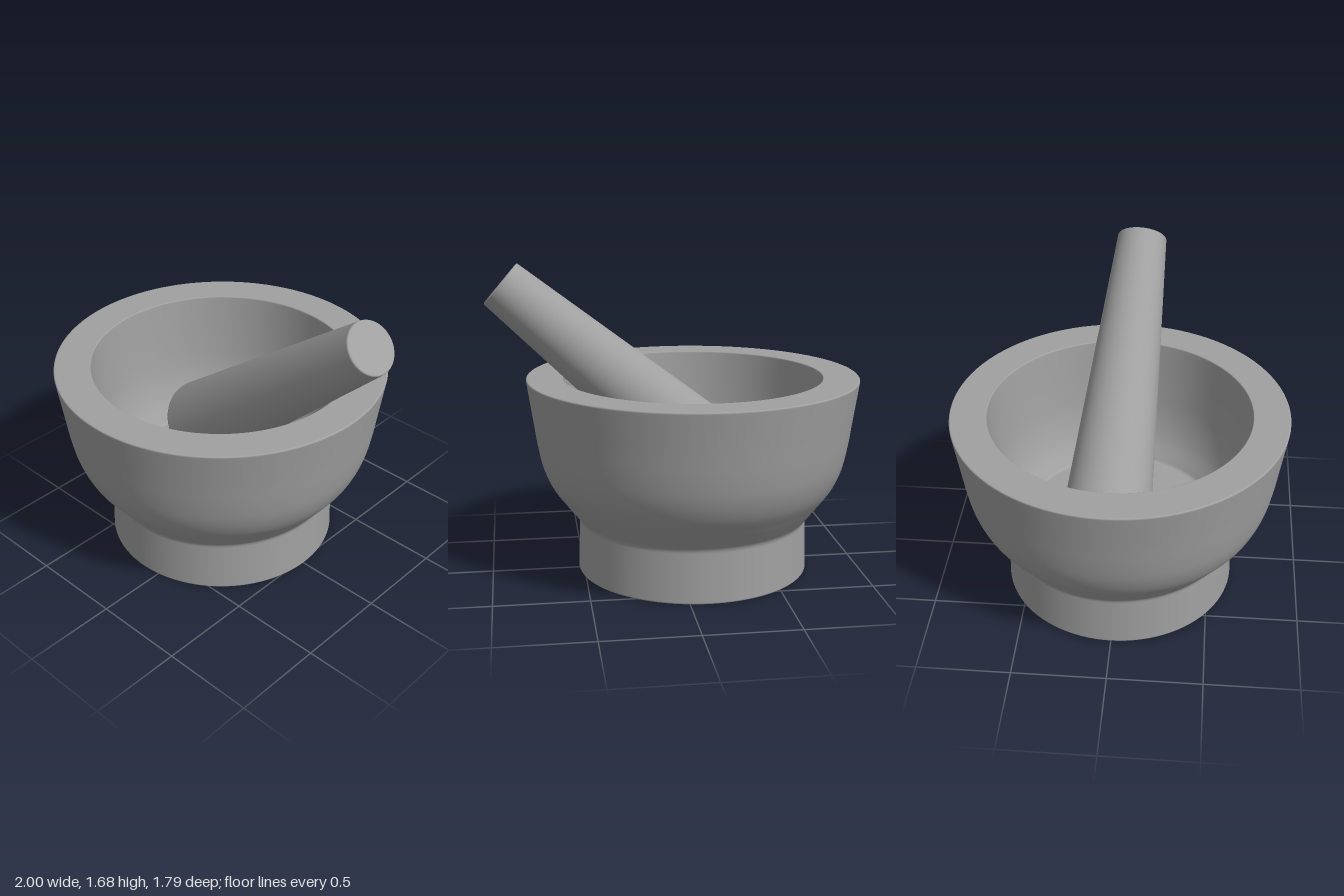
import * as THREE from 'three';

const stone = new THREE.MeshStandardMaterial({ color: 0xa0a0a0 });

// Revolve one continuous profile; small curved fillets keep the shading soft at its edges.
function revolve(path, segments, name) {
  const mesh = new THREE.Mesh(new THREE.LatheGeometry(path.getPoints(8), segments), stone);
  mesh.name = name;
  return mesh;
}

const points = (list) => list.map(([x, y]) => new THREE.Vector2(x, y));

function makeMortar() {
  const profile = new THREE.Path()
    .moveTo(0, 0)
    .lineTo(0.62, 0) // underside
    .quadraticCurveTo(0.63, 0, 0.63, 0.01)
    .lineTo(0.622, 0.27) // foot
    .quadraticCurveTo(0.621, 0.288, 0.632, 0.303) // waist
    .splineThru(points([[0.668, 0.348], [0.71, 0.402], [0.772, 0.488],
      [0.816, 0.59], [0.843, 0.71], [0.867, 0.87], [0.896, 1.06]])) // outer wall
    .quadraticCurveTo(0.897, 1.07, 0.887, 1.07)
    .lineTo(0.706, 1.07) // rim
    .quadraticCurveTo(0.7, 1.07, 0.699, 1.063)
    .splineThru(points([[0.675, 0.8], [0.65, 0.62], [0.605, 0.48], [0.54, 0.373]])) // inner wall
    .quadraticCurveTo(0.532, 0.36, 0.517, 0.36)
    .lineTo(0, 0.36); // floor
  const mortar = revolve(profile, 96, 'mortar');
  mortar.position.x = -0.104;
  return mortar;
}

function makePestle() {
  // Tapered rod leaning from the bowl floor over the rim
  const bottom = new THREE.Vector3(-0.305, 0.542, -0.053);
  const top = new THREE.Vector3(0.911, 1.576, 0.046);
  const axis = top.clone().sub(bottom);
  const length = axis.length();
  const profile = new THREE.Path()
    .moveTo(0, 0)
    .lineTo(0.215, 0) // grinding face
    .quadraticCurveTo(0.237, 0, 0.236, 0.022)
    .lineTo(0.1385, length - 0.01) // shaft
    .quadraticCurveTo(0.138, length, 0.129, length)
    .lineTo(0, length); // end face
  const pestle = revolve(profile, 64, 'pestle');
  pestle.position.copy(bottom);
  pestle.quaternion.setFromUnitVectors(new THREE.Vector3(0, 1, 0), axis.normalize());
  return pestle;
}

export function createModel() {
  const group = new THREE.Group();
  group.name = 'mortarAndPestle';
  group.add(makeMortar(), makePestle());
  return group;
}
